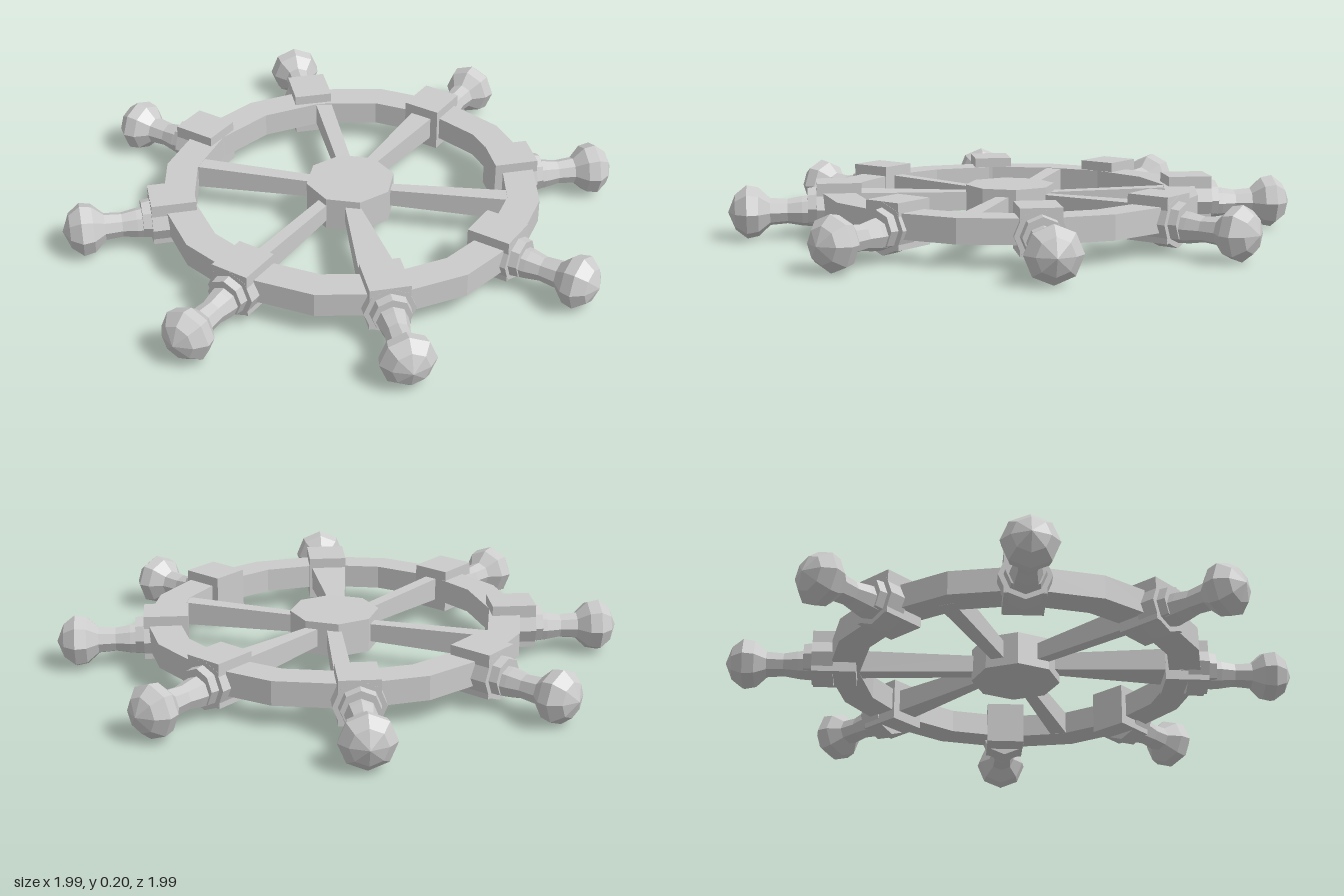
import * as THREE from 'three';

const RING_X = 0.02, RING_Z = -0.012, MID_Y = 0.122;
const material = new THREE.MeshStandardMaterial({ color: 0xcccccc, flatShading: true });

function part(name, geometry, parent) {
  const mesh = new THREE.Mesh(geometry, material);
  mesh.name = name;
  parent.add(mesh);
  return mesh;
}

// Bar from radius r0 to r1 along +x, tapering from w0 x h0 to w1 x h1
function taperedBar(r0, r1, w0, h0, w1, h1) {
  const g = new THREE.BoxGeometry(r1 - r0, 1, 1).translate((r0 + r1) / 2, 0, 0);
  const p = g.attributes.position;
  for (let i = 0; i < p.count; i++) {
    const outer = p.getX(i) > (r0 + r1) / 2;
    p.setY(i, p.getY(i) * (outer ? h1 : h0));
    p.setZ(i, p.getZ(i) * (outer ? w1 : w0));
  }
  return g;
}

// Solid of revolution about the +x axis from [distance, radius] pairs
function turned(profile) {
  const points = profile.map(([d, r]) => new THREE.Vector2(r, d));
  return new THREE.LatheGeometry(points, 8).rotateZ(-Math.PI / 2);
}

export function createModel() {
  const wheel = new THREE.Group();
  wheel.name = 'shipWheel';

  // Sixteen-sided rim with a rectangular section
  const section = [[0.555, 0.08], [0.667, 0.08], [0.667, 0.165], [0.555, 0.165], [0.555, 0.08]];
  const rim = part('rim', new THREE.LatheGeometry(section.map(([r, y]) => new THREE.Vector2(r, y)), 16), wheel);
  rim.position.set(RING_X, 0, RING_Z);

  // Octagonal hub
  const hub = part('hub', new THREE.CylinderGeometry(0.157, 0.157, 0.12, 8), wheel);
  hub.position.set(RING_X, 0.12, RING_Z);

  // Six uneven spokes: start x, z, end x, z, inner width, outer width
  const spokes = [
    [0.0, -0.1, 0.0, -0.58, 0.035, 0.085],
    [0.0, 0.1, 0.0, 0.58, 0.042, 0.045],
    [0.09, -0.05, 0.57, -0.26, 0.042, 0.062],
    [-0.06, 0.005, -0.55, 0.19, 0.045, 0.058],
    [-0.05, -0.1, -0.42, -0.48, 0.05, 0.06],
    [0.06, 0.06, 0.42, 0.42, 0.04, 0.14],
  ];
  for (const [x0, z0, x1, z1, w0, w1] of spokes) {
    const length = Math.hypot(x1 - x0, z1 - z0);
    const spoke = part('spoke', taperedBar(0, length, w0, 0.06, w1, 0.085), wheel);
    spoke.position.set(x0, MID_Y, z0);
    spoke.rotation.y = Math.atan2(z0 - z1, x1 - x0);
  }

  // Eight grips, each with a block over the rim, a collar and a knobbed handle
  for (let i = 0; i < 8; i++) {
    const grip = new THREE.Group();
    grip.name = 'grip';
    const block = part('rimBlock', new THREE.BoxGeometry(0.155, 0.155, 0.138), grip);
    block.position.set(0.612, MID_Y, 0);
    const collar = part('collar', turned([
      [0.615, 0], [0.615, 0.088], [0.69, 0.088], [0.69, 0.07], [0.72, 0.066], [0.72, 0],
    ]), grip);
    const handle = part('handle', turned([
      [0.7, 0.056], [0.74, 0.052], [0.79, 0.043], [0.85, 0.048],
      [0.89, 0.086], [0.93, 0.094], [0.97, 0.062], [0.995, 0],
    ]), grip);
    collar.position.y = 0.11;
    handle.position.y = 0.096;
    const angle = i * Math.PI / 4;
    const out = i === 3 ? 0.02 : 0;
    grip.rotation.y = angle;
    grip.position.set(out * Math.cos(angle), 0, -0.005 - out * Math.sin(angle));
    wheel.add(grip);
  }
  return wheel;
}
